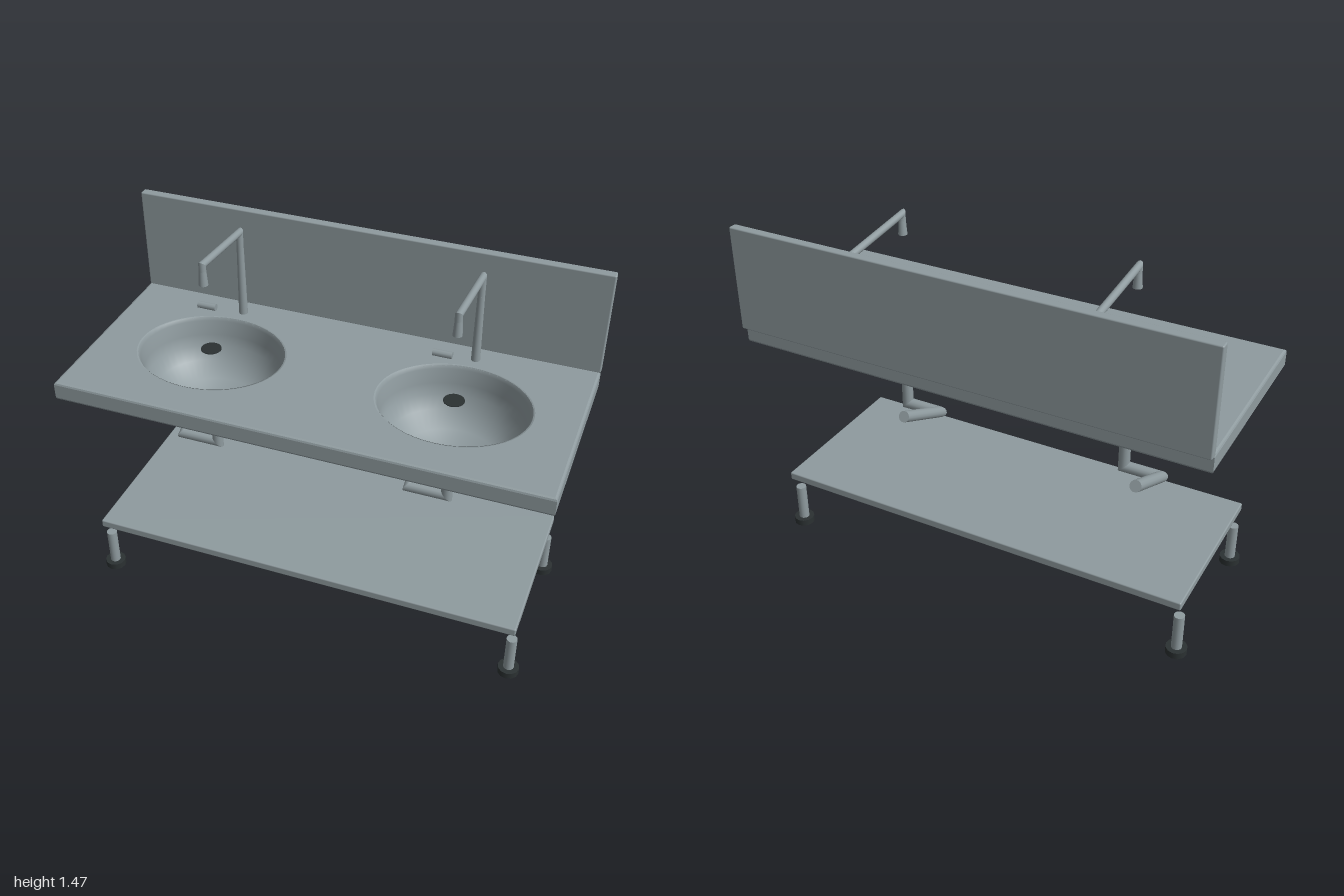
import * as THREE from 'three';
import { RoundedBoxGeometry } from 'three/addons/geometries/RoundedBoxGeometry.js';

const grey = new THREE.MeshStandardMaterial({ name: 'stone grey', color: 0x8f9b9f });
const greyOpen = new THREE.MeshStandardMaterial({ name: 'basin grey', color: 0x8f9b9f, side: THREE.DoubleSide });
const dark = new THREE.MeshStandardMaterial({ name: 'dark rubber', color: 0x2b3132 });

const BASIN_X = [-0.512, 0.51];
const BASIN_Z = 0.012;
const BASIN_RATIO = 0.852; // depth of the oval relative to its width

function add(parent, name, geometry, material, x = 0, y = 0, z = 0) {
  const mesh = new THREE.Mesh(geometry, material);
  mesh.name = name;
  mesh.position.set(x, y, z);
  parent.add(mesh);
  return mesh;
}

// Box given by its limits, with softened edges
function slab(parent, name, x0, x1, y0, y1, z0, z1) {
  const g = new RoundedBoxGeometry(x1 - x0, y1 - y0, z1 - z0, 2, 0.006);
  return add(parent, name, g, grey, (x0 + x1) / 2, (y0 + y1) / 2, (z0 + z1) / 2);
}

// Round pipe along a polyline with sharp mitred corners and closed ends
function mitredPipe(points, radius, sides = 14) {
  const pts = points.map((p) => new THREE.Vector3(...p));
  const dirs = pts.slice(1).map((p, i) => p.clone().sub(pts[i]).normalize());
  const up = Math.abs(dirs[0].y) > 0.9 ? new THREE.Vector3(1, 0, 0) : new THREE.Vector3(0, 1, 0);
  const u = up.clone().cross(dirs[0]).normalize();
  const w = dirs[0].clone().cross(u);
  let ring = [];
  for (let i = 0; i < sides; i++) {
    const a = (i / sides) * Math.PI * 2;
    ring.push(pts[0].clone().addScaledVector(u, radius * Math.cos(a)).addScaledVector(w, radius * Math.sin(a)));
  }
  const pos = [], nor = [];
  const vert = (v, n) => { pos.push(v.x, v.y, v.z); nor.push(n.x, n.y, n.z); };
  const cap = (loop, centre, n, flip) => loop.forEach((v, i) => {
    const next = loop[(i + 1) % sides];
    [centre, flip ? next : v, flip ? v : next].forEach((p) => vert(p, n));
  });
  cap(ring, pts[0], dirs[0].clone().negate(), true);
  dirs.forEach((d, s) => {
    const end = pts[s + 1];
    const plane = d.clone().add(dirs[s + 1] || d).normalize();
    const next = ring.map((v) => v.clone().addScaledVector(d, end.clone().sub(v).dot(plane) / d.dot(plane)));
    const radial = ring.map((v) => {
      const r = v.clone().sub(pts[s]);
      return r.addScaledVector(d, -r.dot(d)).normalize();
    });
    for (let i = 0; i < sides; i++) {
      const j = (i + 1) % sides;
      vert(ring[i], radial[i]); vert(ring[j], radial[j]); vert(next[j], radial[j]);
      vert(ring[i], radial[i]); vert(next[j], radial[j]); vert(next[i], radial[i]);
    }
    ring = next;
  });
  cap(ring, pts[pts.length - 1], dirs[dirs.length - 1], false);
  const g = new THREE.BufferGeometry();
  g.setAttribute('position', new THREE.Float32BufferAttribute(pos, 3));
  g.setAttribute('normal', new THREE.Float32BufferAttribute(nor, 3));
  return g;
}

// Counter with two oval openings and a small bevel
function counterGeometry() {
  const b = 0.01;
  const shape = new THREE.Shape();
  shape.moveTo(-1 + b, -0.43 + b);
  shape.lineTo(1 - b, -0.43 + b);
  shape.lineTo(1 - b, 0.40 - b);
  shape.lineTo(-1 + b, 0.40 - b);
  shape.closePath();
  for (const x of BASIN_X) {
    const hole = new THREE.Path();
    hole.absellipse(x, -BASIN_Z, 0.312, 0.312 * BASIN_RATIO, 0, Math.PI * 2, true);
    shape.holes.push(hole);
  }
  const g = new THREE.ExtrudeGeometry(shape, {
    depth: 0.06, bevelEnabled: true, bevelThickness: b, bevelSize: b, bevelSegments: 2, curveSegments: 32,
  });
  g.rotateX(-Math.PI / 2);
  g.translate(0, 0.96, 0);
  return g;
}

// One wash place: basin, drain, tap, lever and waste pipe
function washPlace(x) {
  const group = new THREE.Group();
  group.name = 'washPlace';
  group.position.x = x;

  const profile = [
    [0.001, 0.754], [0.06, 0.759], [0.19, 0.782], [0.245, 0.845],
    [0.28, 0.9], [0.288, 0.95], [0.297, 1.015], [0.306, 1.03],
  ].map(([r, y]) => new THREE.Vector2(r, y));
  const bowl = add(group, 'basin', new THREE.LatheGeometry(profile, 48), greyOpen, 0, 0, BASIN_Z);
  bowl.scale.z = BASIN_RATIO;

  add(group, 'drainCover', new THREE.CylinderGeometry(0.042, 0.042, 0.003, 24), dark, 0, 1.045, BASIN_Z);
  add(group, 'drainCollar', new THREE.CylinderGeometry(0.025, 0.025, 0.008, 16), dark, 0, 0.75, BASIN_Z);

  add(group, 'wastePipe', mitredPipe([
    [0, 0.746, BASIN_Z], [0, 0.57, BASIN_Z], [-0.158, 0.57, BASIN_Z], [-0.158, 0.7, -0.262],
  ], 0.024), grey);

  add(group, 'tap', mitredPipe([
    [0, 1.03, -0.31], [0, 1.412, -0.31], [0, 1.445, 0.038], [0, 1.37, 0.038],
  ], 0.015), grey);
  add(group, 'spout', new THREE.CylinderGeometry(0.014, 0.019, 0.075, 16), grey, 0, 1.395, 0.038);
  add(group, 'tapFoot', new THREE.CylinderGeometry(0.015, 0.019, 0.3, 16), grey, 0, 1.18, -0.31);

  const lever = add(group, 'lever', new THREE.CylinderGeometry(0.015, 0.015, 0.08, 10), grey, -0.107, 1.11, -0.187);
  lever.rotation.z = Math.PI / 2;
  return group;
}

export function createModel() {
  const model = new THREE.Group();
  model.name = 'doubleWashstand';

  add(model, 'counter', counterGeometry(), grey);
  slab(model, 'backsplash', -1, 1, 1.025, 1.468, -0.43, -0.392);
  slab(model, 'shelf', -0.917, 0.913, 0.25, 0.286, -0.345, 0.375);
  for (const x of BASIN_X) model.add(washPlace(x));

  // Four legs with dark feet
  for (const x of [-0.902, 0.897]) {
    for (const z of [-0.302, 0.332]) {
      add(model, 'leg', new THREE.CylinderGeometry(0.022, 0.022, 0.162, 16), grey, x, 0.109, z);
      add(model, 'foot', new THREE.CylinderGeometry(0.044, 0.044, 0.028, 12), dark, x, 0.014, z);
    }
  }
  return model;
}
